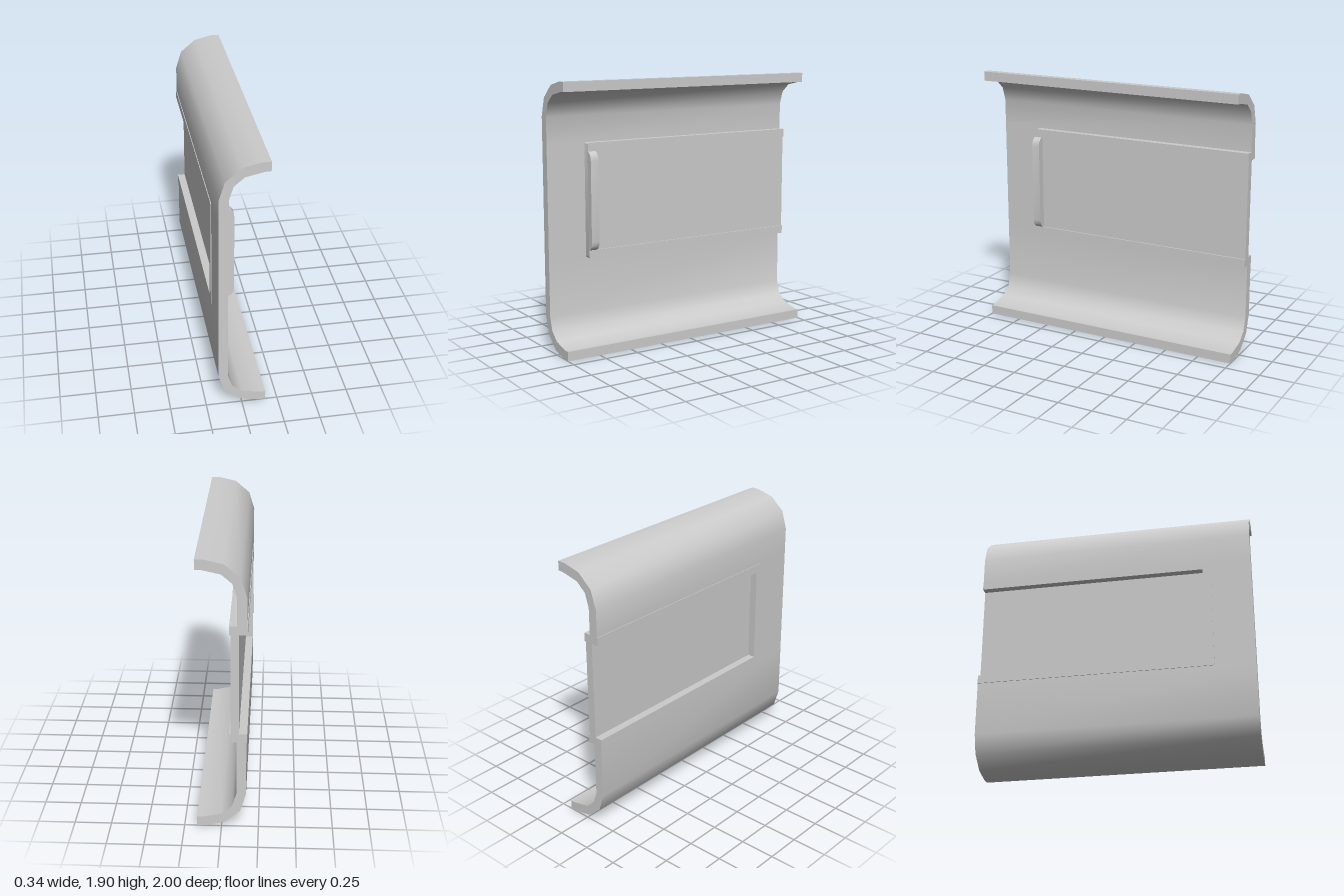
import * as THREE from 'three';
import { toCreasedNormals } from 'three/addons/utils/BufferGeometryUtils.js';

const MID_Y = 0.95, SLOT_Y = 1.05; // middle heights of the channel and of the slot

export function createModel() {
  const group = new THREE.Group();
  const material = new THREE.MeshStandardMaterial({ color: 0xcccccc });

  const add = (name, geometry) => {
    const mesh = new THREE.Mesh(geometry, material);
    mesh.name = name;
    group.add(mesh);
  };
  const toShape = (points) => new THREE.Shape(points.map(([x, y]) => new THREE.Vector2(x, y)));
  const extrude = (shape, depth) =>
    toCreasedNormals(new THREE.ExtrudeGeometry(shape, { depth, bevelEnabled: false, curveSegments: 4 }), 0.62);
  const box = (x0, x1, y0, y1, z0, z1) =>
    new THREE.BoxGeometry(x1 - x0, y1 - y0, z1 - z0)
      .translate((x0 + x1) / 2, (y0 + y1) / 2, (z0 + z1) / 2);

  // Upper and lower halves of the channel, each with its curled lip
  const outer = [[0.165, 0], [0.11, 0], [-0.02, 0.03], [-0.125, 0.12], [-0.165, 0.25]];
  const inner = [[-0.1, 0.25], [-0.07, 0.155], [0, 0.095], [0.13, 0.067], [0.165, 0.067]];
  const half = (edgeY, flip) => {
    const points = [...outer, [-0.165, edgeY], [-0.1, edgeY], ...inner];
    return extrude(toShape(points.map(([x, y]) => [x, flip ? 2 * MID_Y - y : y])), 2).translate(0, 0, -1);
  };
  add('lowerChannel', half(0.64, false));
  add('upperChannel', half(2 * MID_Y - 1.46, true));

  // Wall in front of the slot
  add('frontWall', box(-0.165, -0.1, 0.64, 1.46, 0.68, 1));

  // U-shaped slot frame, open at the back, with rounded front corners
  const r = 0.02;
  const frame = new THREE.Shape();
  frame.moveTo(1, 0.64);
  frame.lineTo(1, 0.7);
  frame.lineTo(-0.65, 0.7);
  frame.lineTo(-0.65, 1.4);
  frame.lineTo(1, 1.4);
  frame.lineTo(1, 1.46);
  frame.lineTo(-0.71 + r, 1.46);
  frame.quadraticCurveTo(-0.71, 1.46, -0.71, 1.46 - r);
  frame.lineTo(-0.71, 0.64 + r);
  frame.quadraticCurveTo(-0.71, 0.64, -0.71 + r, 0.64);
  add('slotFrame', extrude(frame, 0.12).rotateY(Math.PI / 2).translate(-0.17, 0, 0));

  // Raised stop bar with rounded ends at the front of the slot
  const corner = [[-0.055, 0.35], [-0.05, 0.35], [-0.03, 0.338], [-0.015, 0.318], [-0.01, 0.285]];
  const bar = [
    ...corner.map(([x, y]) => [x, SLOT_Y + y]),
    ...corner.map(([x, y]) => [x, SLOT_Y - y]).reverse(),
  ];
  add('stopBar', extrude(toShape(bar), 0.06).translate(0, 0, 0.65));

  // Sliding panel held between the rails
  add('slidingPanel', box(-0.115, -0.06, 0.7, 1.4, -1, 0.65));

  return group;
}
